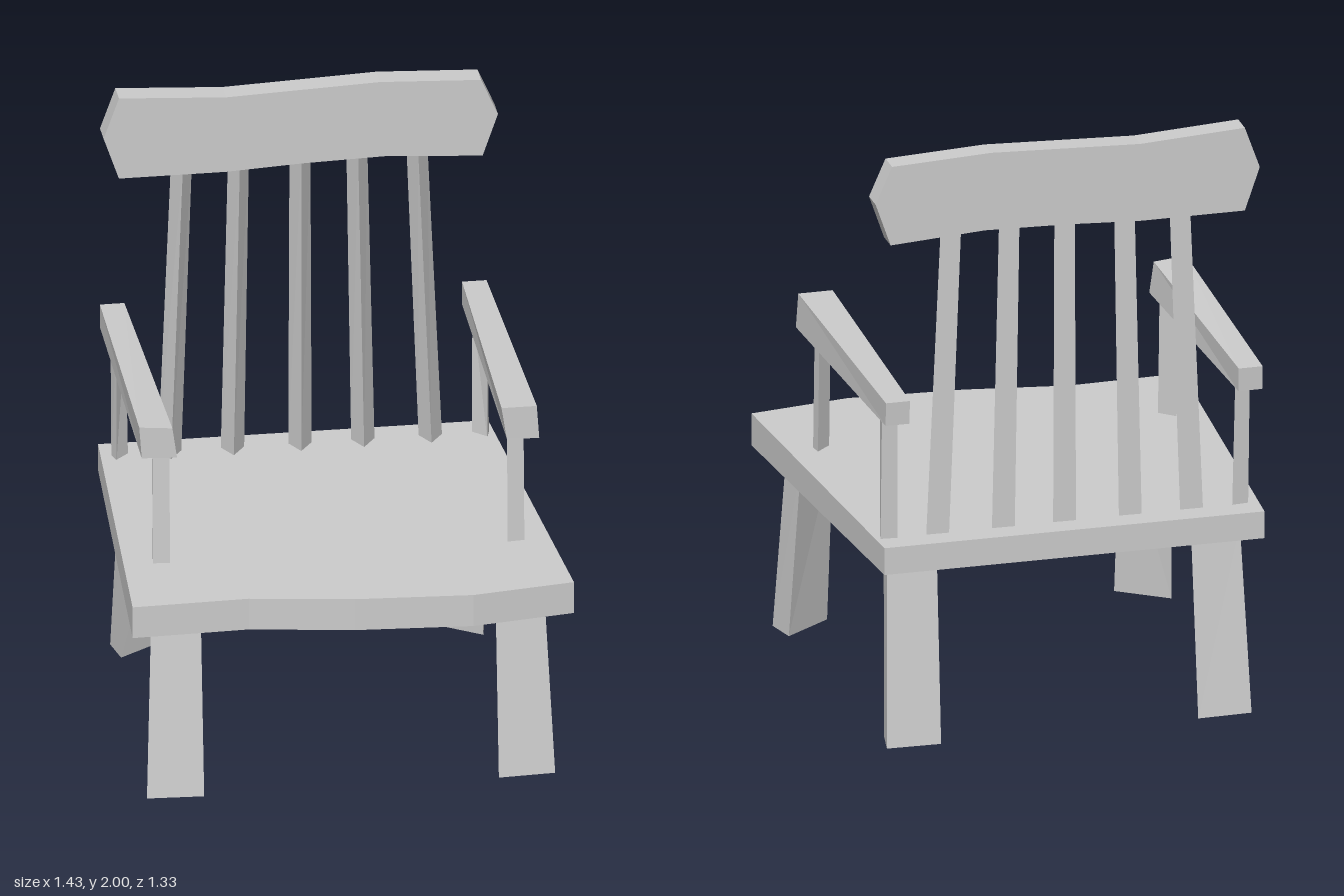
import * as THREE from 'three';

const material = new THREE.MeshStandardMaterial({ color: 0xcccccc, flatShading: true });

// Solid bar between two matching convex rings of [x, y, z] corners
function loft(name, a, b) {
  const n = a.length, tris = [];
  for (let i = 0; i < n; i++) {
    const j = (i + 1) % n;
    tris.push([a[i], a[j], b[j]], [a[i], b[j], b[i]]);
    if (i > 0 && i < n - 1) tris.push([a[0], a[i + 1], a[i]], [b[0], b[i], b[i + 1]]);
  }
  // Signed volume about the first corner tells whether the faces point outward
  const o = new THREE.Vector3(...a[0]);
  let volume = 0;
  for (const t of tris) {
    const [p, q, r] = t.map(v => new THREE.Vector3(...v).sub(o));
    volume += p.dot(q.cross(r));
  }
  if (volume < 0) tris.forEach(t => t.reverse());
  const geometry = new THREE.BufferGeometry();
  geometry.setAttribute('position', new THREE.Float32BufferAttribute(tris.flat(2), 3));
  geometry.computeVertexNormals();
  return named(name, geometry);
}

function named(name, geometry) {
  const mesh = new THREE.Mesh(geometry, material);
  mesh.name = name;
  return mesh;
}

// Places flat [x, z] corners at a height, mirrored in x by s
const ring = (s, y, pts) => pts.map(([x, z]) => [s * x, y, z]);

const outline = pts => new THREE.Shape(pts.map(p => new THREE.Vector2(...p)));

export function createModel() {
  const model = new THREE.Group();
  model.name = 'armchair';

  // Seat slab with a wavy front edge, slightly thinner at the back
  const seat = new THREE.ExtrudeGeometry(outline([
    [-0.645, -0.665], [0.625, -0.66], [0.715, 0.615], [0.38, 0.665], [0, 0.64], [-0.34, 0.585], [-0.72, 0.595],
  ]), { depth: 0.11, bevelEnabled: false });
  seat.rotateX(Math.PI / 2).translate(0, 0.71, 0);
  const pos = seat.attributes.position;
  for (let i = 0; i < pos.count; i++) {
    const k = 1 - 0.16 * (0.64 - pos.getZ(i)) / 1.3;
    pos.setY(i, 0.655 + (pos.getY(i) - 0.655) * k);
  }
  seat.computeVertexNormals();
  model.add(named('seat', seat));

  for (const s of [1, -1]) {
    const side = s > 0 ? 'left' : 'right';

    // Splayed three-sided legs
    model.add(loft(side + 'FrontLeg',
      ring(s, 0, [[0.48, 0.55], [0.665, 0.54], [0.64, 0.435]]),
      ring(s, 0.62, [[0.48, 0.475], [0.64, 0.465], [0.62, 0.36]])));
    model.add(loft(side + 'BackLeg',
      ring(s, 0, [[0.43, -0.64], [0.61, -0.635], [0.59, -0.53]]),
      ring(s, 0.63, [[0.425, -0.57], [0.59, -0.565], [0.575, -0.47]])));

    // Three-sided arm posts
    model.add(loft(side + 'FrontArmPost',
      ring(s, 0.69, [[0.55, 0.275], [0.605, 0.27], [0.6, 0.23]]),
      ring(s, 1.13, [[0.55, 0.255], [0.605, 0.25], [0.6, 0.21]])));
    model.add(loft(side + 'BackArmPost',
      ring(s, 0.68, [[0.56, -0.58], [0.615, -0.575], [0.605, -0.535]]),
      ring(s, 1.14, [[0.565, -0.6], [0.615, -0.595], [0.605, -0.535]])));
  }

  // Armrests, tapering toward the back
  const armBack = (x0, x1) => [[x0, 1.2, -0.66], [x1, 1.2, -0.66], [x1, 1.12, -0.655], [x0, 1.12, -0.655]];
  model.add(loft('leftArmrest',
    [[0.52, 1.215, 0.34], [0.635, 1.215, 0.34], [0.643, 1.1, 0.34], [0.537, 1.105, 0.34]],
    armBack(0.54, 0.62)));
  model.add(loft('rightArmrest',
    [[-0.658, 1.22, 0.325], [-0.55, 1.21, 0.325], [-0.535, 1.105, 0.325], [-0.65, 1.11, 0.325]],
    armBack(-0.64, -0.56)));

  // Back slats: three-sided, ridge to the front, leaning inward
  const slatRing = (x, w, y) => ring(1, y, [[x - w, -0.58], [x - 0.005, -0.515], [x + w, -0.578]]);
  [[-0.425, -0.385], [-0.22, -0.2], [0, 0], [0.205, 0.185], [0.425, 0.38]].forEach(([x0, x1], i) =>
    model.add(loft('backSlat' + (i + 1), slatRing(x0, 0.038, 0.69), slatRing(x1, 0.034, 1.76))));

  // Wavy top rail with pointed ends
  const rail = new THREE.ExtrudeGeometry(outline([
    [-0.6, 1.715], [-0.25, 1.715], [0, 1.728], [0.27, 1.735], [0.585, 1.715], [0.635, 1.86],
    [0.58, 1.985], [0.25, 2], [0, 1.99], [-0.25, 1.98], [-0.6, 2], [-0.65, 1.86],
  ]), { depth: 0.08, bevelEnabled: false });
  rail.translate(0, 0, -0.59);
  model.add(named('topRail', rail));

  return model;
}
